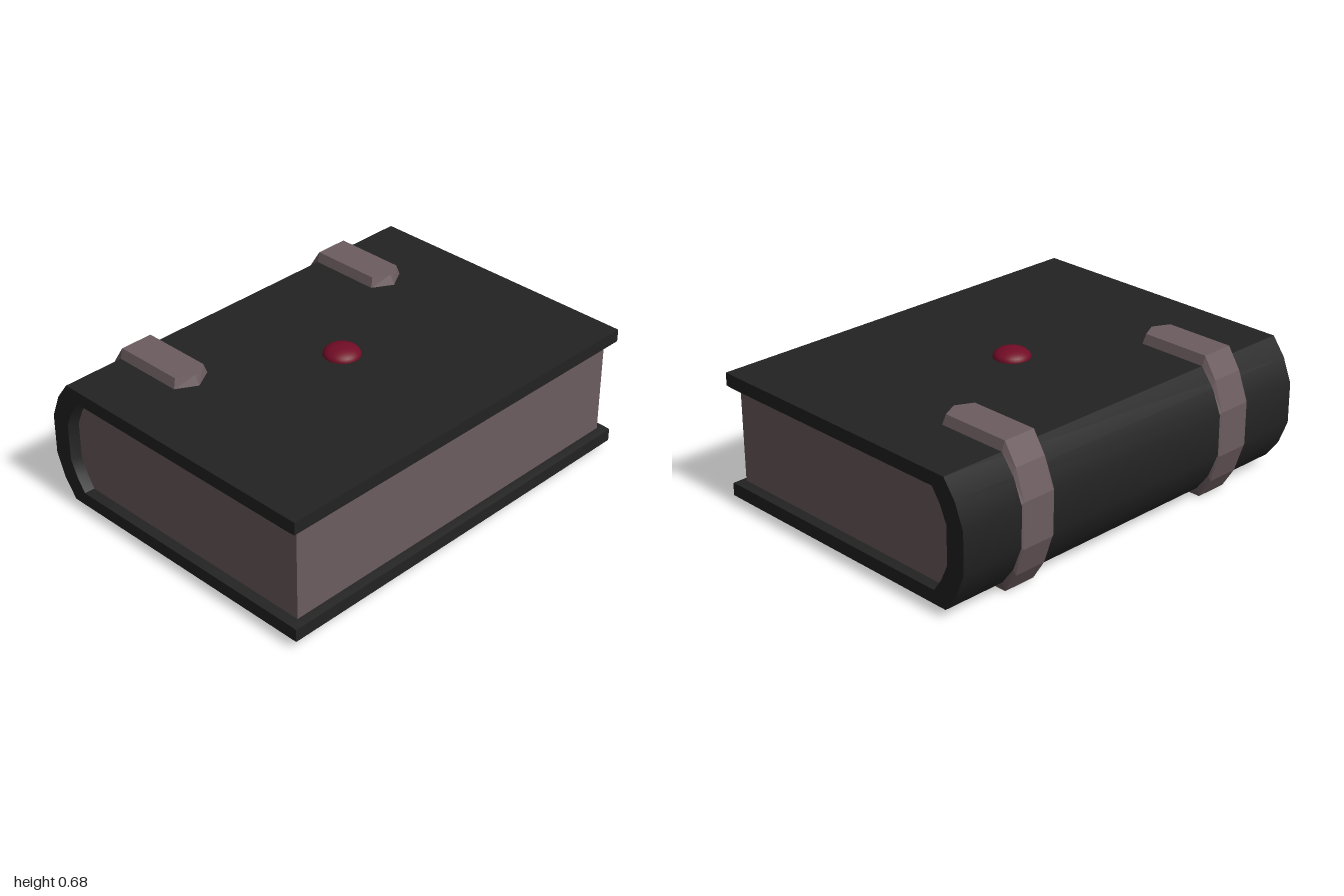
import * as THREE from 'three';
import { toCreasedNormals } from 'three/addons/utils/BufferGeometryUtils.js';

const MID_Y = 0.345;
const flip = ([x, y]) => [x, 2 * MID_Y - y];

// Continues a list of stations (each a list of [x, y]) with its mirror image below MID_Y
const mirrored = (stations) => [...stations, ...[...stations].reverse().map((s) => s.map(flip))];

// Skins closed rings of [x, y, z] points; capped ends are convex fans
function loft(rings, crease = 0) {
  const pos = [];
  const tri = (a, b, c) => pos.push(...a, ...b, ...c);
  const n = rings[0].length;
  for (let i = 0; i < rings.length - 1; i++) {
    for (let j = 0; j < n; j++) {
      const k = (j + 1) % n;
      const [a, b, c, d] = [rings[i][j], rings[i][k], rings[i + 1][k], rings[i + 1][j]];
      tri(a, d, c);
      tri(a, c, b);
    }
  }
  const first = rings[0];
  const last = rings[rings.length - 1];
  for (let k = 1; k < n - 1; k++) {
    tri(first[0], first[k], first[k + 1]);
    tri(last[0], last[k + 1], last[k]);
  }
  const geo = new THREE.BufferGeometry();
  geo.setAttribute('position', new THREE.Float32BufferAttribute(pos, 3));
  geo.computeVertexNormals();
  return crease ? toCreasedNormals(geo, crease) : geo;
}

export function createModel() {
  const model = new THREE.Group();
  model.name = 'book';

  const material = (name, color) => {
    const m = new THREE.MeshStandardMaterial({ color });
    m.name = name;
    return m;
  };
  const leather = material('black leather', 0x232323);
  const parchment = material('dusty parchment', 0x6c5c5f);
  const ruby = material('dark ruby', 0x720c26);

  const add = (name, geo, mat) => {
    const mesh = new THREE.Mesh(geo, mat);
    mesh.name = name;
    model.add(mesh);
    return mesh;
  };

  // Cover: outer point, inner point at the rim, inner point past the chamfer
  const coverStations = mirrored([
    [[0.742, 0.64], [0.742, 0.58], [0.742, 0.58]],
    [[0.705, 0.64], [0.705, 0.577], [0.705, 0.57]],
    [[-0.637, 0.64], [-0.57, 0.577], [-0.56, 0.57]],
    [[-0.7, 0.555], [-0.615, 0.512], [-0.6, 0.507]],
    [[-0.745, 0.442], [-0.65, 0.435], [-0.632, 0.43]],
  ]);
  const coverRings = coverStations.map(([o, a, b]) => [
    [...o, 1], [...a, 1], [...b, 0.955],
    [...b, -0.955], [...a, -1], [...o, -1],
  ]);
  add('cover', loft(coverRings, 0.7), leather);

  // Page block with a rounded spine side
  const pageOutline = [[0.705, 0.57], [-0.56, 0.57], [-0.6, 0.507], [-0.632, 0.43]];
  const outline = [...pageOutline, ...[...pageOutline].reverse().map(flip)];
  const pageShape = new THREE.Shape(outline.map(([x, y]) => new THREE.Vector2(x, y)));
  const pages = new THREE.ExtrudeGeometry(pageShape, { depth: 1.91, bevelEnabled: false });
  pages.translate(0, 0, -0.955);
  add('pages', pages, parchment);

  // Spine bands: outer point and base point, pointed at both ends
  const bandStations = mirrored([
    [[-0.258, 0.685], [-0.235, 0.638]],
    [[-0.298, 0.685], [-0.29, 0.638]],
    [[-0.64, 0.685], [-0.637, 0.638]],
    [[-0.702, 0.588], [-0.698, 0.555]],
    [[-0.749, 0.45], [-0.743, 0.442]],
  ]);
  for (const [name, z] of [['frontBand', 0.605], ['backBand', -0.595]]) {
    const rings = bandStations.map(([o, b], i) => {
      const tip = i === 0 || i === bandStations.length - 1;
      const top = tip ? 0 : 0.08;
      const base = tip ? 0 : 0.095;
      return [[...o, z + top], [...b, z + base], [...b, z - base], [...o, z - top]];
    });
    add(name, loft(rings), parchment);
  }

  // Domed gems set into both boards
  for (const [name, y] of [['topGem', 0.64], ['bottomGem', 0.05]]) {
    const gem = add(name, new THREE.SphereGeometry(0.085, 32, 16), ruby);
    gem.scale.y = 0.5;
    gem.position.set(0.014, y, 0);
  }

  return model;
}
